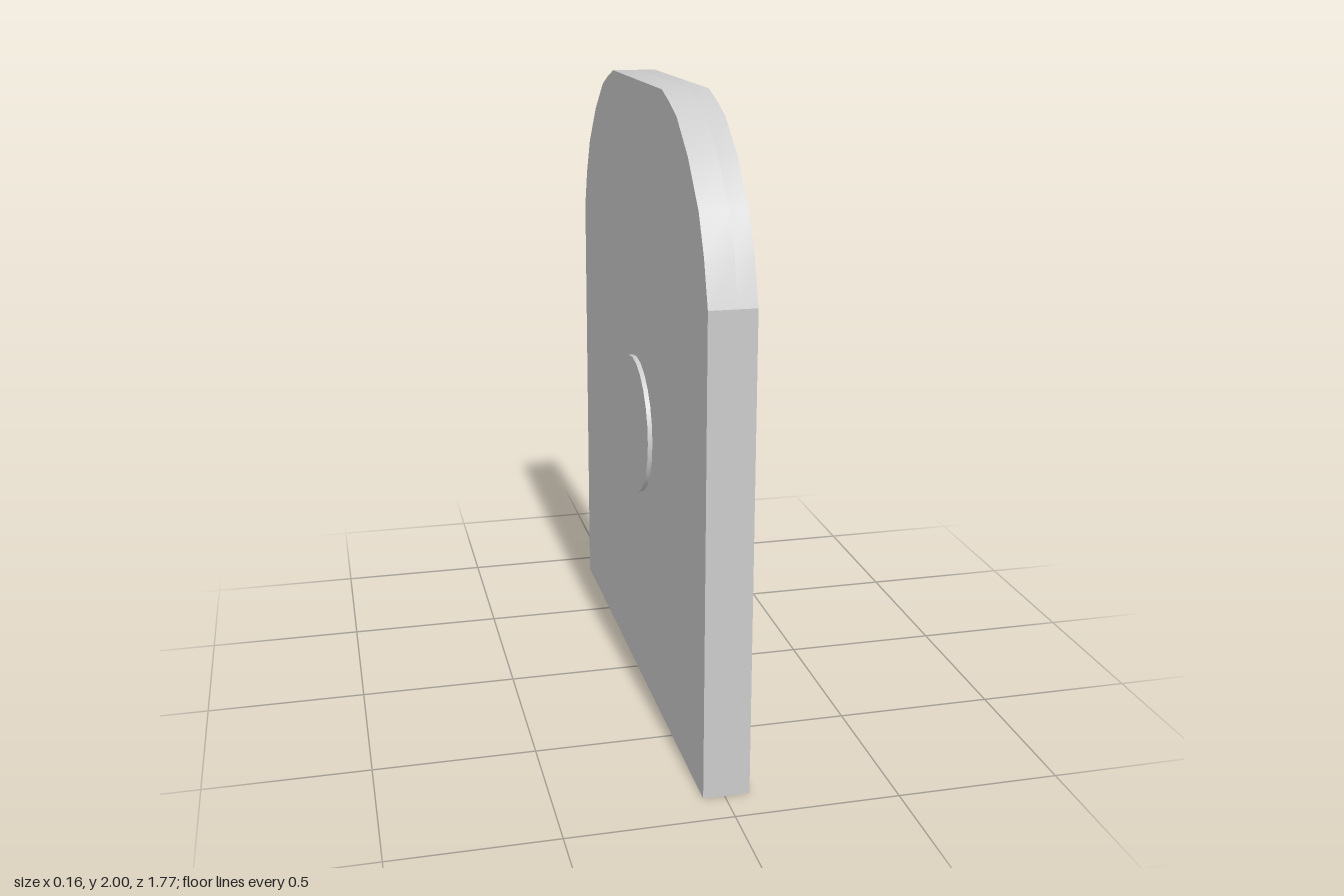
import * as THREE from 'three';
import { toCreasedNormals } from 'three/addons/utils/BufferGeometryUtils.js';

// Half outlines as (distance from centre, height), from the foot upwards
const OUTER = [[0.885, 0], [0.885, 1.465], [0.84, 1.6], [0.78, 1.715], [0.66, 1.845], [0.53, 1.94], [0.445, 1.972], [0.35, 2]];
const INNER = [[0.763, 0], [0.763, 1.475], [0.727, 1.607], [0.674, 1.713], [0.58, 1.845], [0.478, 1.91], [0.39, 1.945]];
const BACK = -0.065, FLOOR = 0.02, FRONT = 0.076;
const BOSS_Y = 0.882;

// Full arch from one foot, over the top, to the other foot
function arch(half) {
  const mirrored = half.map(([w, y]) => new THREE.Vector2(-w, y)).reverse();
  return [...half.map(([w, y]) => new THREE.Vector2(w, y)), ...mirrored];
}

// Extrude a side-on shape between two x positions
function plate(name, shape, x0, x1, material) {
  const geometry = new THREE.ExtrudeGeometry(shape, { depth: x1 - x0, bevelEnabled: false, curveSegments: 24 });
  geometry.rotateY(Math.PI / 2);
  geometry.translate(x0, 0, 0);
  const mesh = new THREE.Mesh(toCreasedNormals(geometry, 0.29), material);
  mesh.name = name;
  return mesh;
}

export function createModel() {
  const group = new THREE.Group();
  group.name = 'archedPanel';
  const material = new THREE.MeshStandardMaterial({ color: 0xcccccc });

  // Panel with a round opening for the boss
  const panelShape = new THREE.Shape(arch(OUTER));
  const opening = new THREE.Path();
  opening.absarc(0, BOSS_Y, 0.21, 0, Math.PI * 2, true);
  panelShape.holes.push(opening);
  group.add(plate('panel', panelShape, BACK, FLOOR, material));

  // Raised rim around sides and top, open at the foot
  const rimShape = new THREE.Shape([...arch(OUTER), ...arch(INNER).reverse()]);
  group.add(plate('rim', rimShape, FLOOR, FRONT, material));

  // Round boss: plain disc behind, stepped recess in front
  const profile = [
    [0, -0.08], [0.227, -0.08], [0.227, 0.035], [0.187, 0.035],
    [0.187, 0.01], [0.127, 0.01], [0.127, -0.015], [0, -0.015],
  ].map(([r, x]) => new THREE.Vector2(r, x));
  const bossGeometry = toCreasedNormals(new THREE.LatheGeometry(profile, 24), 0.6);
  bossGeometry.rotateZ(-Math.PI / 2);
  const boss = new THREE.Mesh(bossGeometry, material);
  boss.name = 'steppedBoss';
  boss.position.y = BOSS_Y;
  group.add(boss);

  return group;
}
